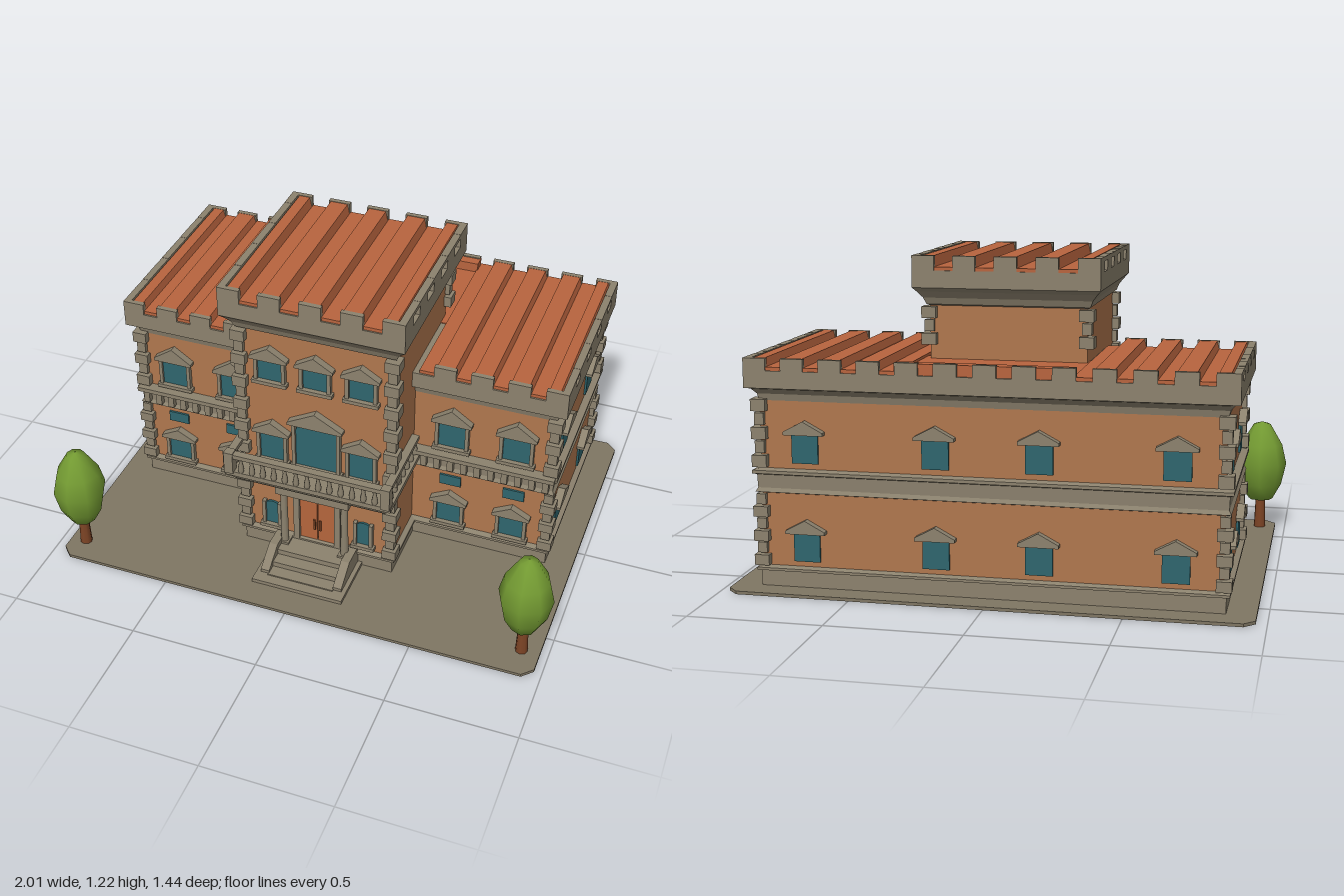
import * as THREE from 'three';

const mat = (name, color) => Object.assign(new THREE.MeshStandardMaterial({ color }), { name });
const STONE = mat('stone', 0x8c826e), WALL = mat('plaster', 0xb0774e), ROOF = mat('roof tile', 0xb8643e),
  GLASS = mat('window glass', 0x2f666e), LEAF = mat('foliage', 0x739a32), BARK = mat('bark', 0x7d4425),
  DOOR = mat('door wood', 0xb5663c), PAVE = mat('paving', 0x7f7663);

function add(parent, geo, material, name, x = 0, y = 0, z = 0) {
  const m = new THREE.Mesh(geo, material);
  m.name = name;
  m.position.set(x, y, z);
  parent.add(m);
  return m;
}
// box given by its limits
const block = (p, m, name, x0, x1, y0, y1, z0, z1) =>
  add(p, new THREE.BoxGeometry(x1 - x0, y1 - y0, z1 - z0), m, name, (x0 + x1) / 2, (y0 + y1) / 2, (z0 + z1) / 2);

// stack of rectangles [y, grow] around a base rectangle, for flared mouldings
function moulding(p, m, name, [x0, x1, z0, z1], rows) {
  const pos = [];
  const ring = ([y, g]) => [[x0 - g, y, z1 + g], [x1 + g, y, z1 + g], [x1 + g, y, z0 - g], [x0 - g, y, z0 - g]];
  const quad = (a, b, c, d) => pos.push(...a, ...b, ...c, ...a, ...c, ...d);
  rows.slice(1).forEach((r, i) => {
    const a = ring(rows[i]), b = ring(r);
    for (let k = 0; k < 4; k++) quad(a[k], a[(k + 1) % 4], b[(k + 1) % 4], b[k]);
  });
  const lo = ring(rows[0]), hi = ring(rows[rows.length - 1]);
  quad(hi[0], hi[1], hi[2], hi[3]);
  quad(lo[3], lo[2], lo[1], lo[0]);
  const g = new THREE.BufferGeometry();
  g.setAttribute('position', new THREE.Float32BufferAttribute(pos, 3));
  g.computeVertexNormals();
  return add(p, g, m, name);
}

// extruded outline in the xy plane, from z to z + depth
function extrude(p, m, name, pts, depth, x, y, z) {
  const s = new THREE.Shape(pts.map(q => new THREE.Vector2(...q)));
  return add(p, new THREE.ExtrudeGeometry(s, { depth, bevelEnabled: false }), m, name, x, y, z);
}

// window with pediment; y is the sill, turn is the wall direction
function makeWindow(p, x, y, z, w, h, { turn = 0, arch = false, frame = false, gable = 0.055 } = {}) {
  const g = new THREE.Group();
  g.name = 'window';
  g.position.set(x, y, z);
  g.rotation.y = turn;
  const pts = [[-w / 2, 0], [w / 2, 0]];
  if (arch) for (let i = 0; i <= 8; i++) {
    const a = Math.PI * i / 8;
    pts.push([Math.cos(a) * w / 2, h - w * 0.3 + Math.sin(a) * w * 0.3]);
  } else pts.push([w / 2, h], [-w / 2, h]);
  extrude(g, GLASS, 'pane', pts, 0.008, 0, 0, 0);
  if (frame) {
    for (const s of [-1, 1]) add(g, new THREE.BoxGeometry(0.014, h, 0.02), STONE, 'jamb', s * (w / 2 + 0.005), h / 2, 0.008);
    add(g, new THREE.BoxGeometry(w + 0.04, 0.015, 0.03), STONE, 'sill', 0, -0.005, 0.012);
  }
  if (gable) extrude(g, STONE, 'pediment',
    [[-w / 2 - 0.025, -0.012], [w / 2 + 0.025, -0.012], [w / 2 + 0.025, 0], [0, gable], [-w / 2 - 0.025, 0]], 0.03, 0, h, 0);
  p.add(g);
}

// staggered corner stones
function quoins(p, x, z, y0, y1) {
  const n = Math.round((y1 - y0) / 0.05), step = (y1 - y0) / n;
  for (let i = 0; i < n; i++) {
    const s = i % 2 ? 0.036 : 0.056;
    add(p, new THREE.BoxGeometry(s, step * 0.86, s), STONE, 'cornerStone', x, y0 + step * (i + 0.5), z);
  }
}

// raised planks with sunken gaps between them; spans are [x0, x1]
function ribbedRoof(p, spans, x0, x1, low, high, z0, z1) {
  const pts = [[x0, low - 0.03], [x1, low - 0.03], [x1, low]];
  [...spans].reverse().forEach(([a, b]) => {
    const l = Math.max(a, x0), r = Math.min(b, x1);
    if (r - l > 0.02) pts.push([r, low], [r - 0.008, high], [l + 0.008, high], [l, low]);
  });
  pts.push([x0, low]);
  extrude(p, ROOF, 'ribbedRoof', pts, z1 - z0, 0, 0, z0);
}

const spread = (a, b, n, width) => Array.from({ length: n }, (_, i) => {
  const c = a + width / 2 + (b - a - width) * i / (n - 1);
  return [c - width / 2, c + width / 2];
});

// low posts and a rail between two points
function balustrade(p, ax, az, bx, bz, n) {
  const len = Math.hypot(bx - ax, bz - az), turn = -Math.atan2(bz - az, bx - ax);
  const rail = add(p, new THREE.BoxGeometry(len + 0.02, 0.018, 0.03), STONE, 'rail', (ax + bx) / 2, 0.511, (az + bz) / 2);
  rail.rotation.y = turn;
  const post = new THREE.LatheGeometry([[0.008, 0], [0.013, 0.02], [0.007, 0.05], [0.011, 0.075]].map(q => new THREE.Vector2(...q)), 8);
  for (let i = 0; i <= n; i++) add(p, post, STONE, 'baluster', ax + (bx - ax) * i / n, 0.43, az + (bz - az) * i / n);
}

function makeTree(root, x, z) {
  const g = new THREE.Group();
  g.name = 'tree';
  g.position.set(x, 0, z);
  add(g, new THREE.CylinderGeometry(0.018, 0.024, 0.16, 8), BARK, 'trunk', 0, 0.09, 0);
  const prof = [[0, 0.125], [0.05, 0.135], [0.085, 0.2], [0.104, 0.29], [0.085, 0.37], [0.035, 0.455], [0, 0.466]];
  const crown = new THREE.LatheGeometry(prof.map(q => new THREE.Vector2(...q)), 8);
  add(g, crown, LEAF, 'crown');
  root.add(g);
}

export function createModel() {
  const root = new THREE.Group();
  root.name = 'castleHouse';

  // paved plate with clipped corners
  const c = 0.04, X = 0.965, Z = 0.72;
  const plate = extrude(root, PAVE, 'paving', [[-X + c, -Z], [X - c, -Z], [X, -Z + c], [X, Z - c], [X - c, Z], [-X + c, Z], [-X, Z - c], [-X, -Z + c]], 0.012, 0.005, 0.012, 0);
  plate.rotation.x = Math.PI / 2;
  makeTree(root, -0.897, 0.62);
  makeTree(root, 0.9, 0.6);

  const b = new THREE.Group();
  b.name = 'building';
  b.position.x = 0.005;
  root.add(b);
  const main = [-0.85, 0.85, -0.615, 0.105], tower = [-0.3, 0.3, -0.26, 0.365];

  // main body and its bands
  block(b, WALL, 'mainWalls', -0.85, 0.85, 0.01, 0.76, -0.615, 0.105);
  moulding(b, STONE, 'plinth', main, [[0.01, 0.008], [0.07, 0.008], [0.073, 0.022], [0.083, 0.022], [0.09, 0.002]]);
  moulding(b, STONE, 'middleBand', main, [[0.365, 0.004], [0.37, 0.02], [0.385, 0.012], [0.435, 0.014], [0.44, 0.028], [0.452, 0.028], [0.458, 0.002]]);
  moulding(b, STONE, 'mainCornice', main, [[0.71, 0.002], [0.735, 0.008], [0.755, 0.025], [0.76, 0.045], [0.825, 0.045]]);
  for (const s of [-1, 1]) for (let i = 0; i < 10; i++) {
    block(b, STONE, 'corbel', s * (0.35 + i * 0.054) - 0.012, s * (0.35 + i * 0.054) + 0.012, 0.385, 0.44, 0.11, 0.14);
  }
  block(b, STONE, 'frontLedge', -0.87, 0.87, 0.44, 0.458, 0.1, 0.15);
  for (const x of [-0.85, 0.85]) for (const z of [-0.615, 0.105]) {
    quoins(b, x, z, 0.09, 0.365);
    quoins(b, x, z, 0.46, 0.72);
  }

  // wing battlements and roofs
  const merlons = spread(-0.895, 0.895, 13, 0.085);
  for (const [x0, x1] of merlons) {
    if (Math.min(Math.abs(x0), Math.abs(x1)) > 0.26) block(b, STONE, 'merlon', x0, x1, 0.82, 0.87, 0.13, 0.15);
    block(b, STONE, 'merlon', x0, x1, 0.82, 0.87, -0.66, -0.64);
  }
  for (const x of [-0.895, 0.867]) {
    for (const [z0, z1] of spread(-0.66, 0.15, 5, 0.115)) block(b, STONE, 'merlon', x, x + 0.028, 0.82, 0.87, z0, z1);
    block(b, STONE, 'sideCoping', x, x + 0.028, 0.857, 0.869, -0.66, 0.15);
  }
  ribbedRoof(b, merlons, -0.868, -0.315, 0.838, 0.869, -0.655, 0.143);
  ribbedRoof(b, merlons, 0.325, 0.868, 0.838, 0.869, -0.655, 0.143);
  block(b, ROOF, 'middleRoof', -0.32, 0.33, 0.8, 0.828, -0.64, -0.2);
  block(b, ROOF, 'backRib', -0.32, 0.33, 0.82, 0.866, -0.65, -0.6);

  // tower
  block(b, WALL, 'towerWalls', -0.3, 0.3, 0.01, 1.05, -0.26, 0.365);
  moulding(b, STONE, 'towerPlinth', tower, [[0.01, 0.008], [0.07, 0.008], [0.073, 0.02], [0.083, 0.02], [0.09, 0.002]]);
  moulding(b, STONE, 'towerCornice', tower, [[1.03, 0.002], [1.035, 0.012], [1.06, 0.022], [1.085, 0.042], [1.1, 0.056], [1.165, 0.056]]);
  const top = spread(-0.356, 0.356, 5, 0.085);
  for (const [x0, x1] of top) {
    block(b, STONE, 'merlon', x0, x1, 1.16, 1.22, 0.401, 0.421);
    block(b, STONE, 'merlon', x0, x1, 1.16, 1.22, -0.316, -0.296);
  }
  for (const x of [-0.356, 0.328]) {
    for (const [z0, z1] of spread(-0.316, 0.421, 5, 0.09)) block(b, STONE, 'merlon', x, x + 0.028, 1.16, 1.22, z0, z1);
    block(b, STONE, 'sideCoping', x, x + 0.028, 1.203, 1.219, -0.316, 0.421);
  }
  ribbedRoof(b, top, -0.33, 0.33, 1.178, 1.218, -0.312, 0.415);
  for (const x of [-0.3, 0.3]) {
    quoins(b, x, 0.365, 0.09, 0.37);
    quoins(b, x, 0.365, 0.46, 1.03);
    quoins(b, x, -0.26, 0.88, 1.03);
  }

  // balcony around the tower front
  moulding(b, STONE, 'balcony', [-0.3, 0.3, 0.1, 0.45], [[0.375, 0.0], [0.39, 0.012], [0.405, 0.02], [0.415, 0.035], [0.435, 0.035]]);
  balustrade(b, -0.315, 0.475, 0.315, 0.475, 14);
  for (const s of [-1, 1]) {
    balustrade(b, s * 0.315, 0.475, s * 0.315, 0.14, 7);
    block(b, STONE, 'balconyPost', s * 0.315 - 0.018, s * 0.315 + 0.018, 0.43, 0.525, 0.457, 0.493);
  }

  // entrance: door leaves, frame, columns and steps
  for (const s of [-1, 1]) {
    block(b, DOOR, 'doorLeaf', s * 0.037 - 0.035, s * 0.037 + 0.035, 0.07, 0.31, 0.36, 0.374);
    block(b, BARK, 'doorHandle', s * 0.012 - 0.004, s * 0.012 + 0.004, 0.14, 0.19, 0.37, 0.38);
    block(b, STONE, 'doorJamb', s * 0.085 - 0.012, s * 0.085 + 0.012, 0.07, 0.33, 0.36, 0.385);
    add(b, new THREE.CylinderGeometry(0.013, 0.016, 0.28, 10), STONE, 'column', s * 0.125, 0.22, 0.41);
    block(b, STONE, 'columnBase', s * 0.125 - 0.022, s * 0.125 + 0.022, 0.01, 0.085, 0.36, 0.432);
    const cheek = extrude(b, STONE, 'stairCheek', [[0, 0], [0.2, 0], [0.2, 0.03], [0.11, 0.09], [0, 0.09]], 0.035, s * 0.15 - 0.0175, 0.01, 0.36);
    cheek.rotation.y = -Math.PI / 2;
    cheek.position.x += 0.035;
    makeWindow(b, s * 0.19, 0.12, 0.366, 0.055, 0.11, { arch: true, frame: true, gable: 0 });
  }
  block(b, STONE, 'doorLintel', -0.15, 0.15, 0.33, 0.375, 0.36, 0.435);
  for (let i = 0; i < 3; i++) block(b, STONE, 'step', -0.135, 0.135, 0.01, 0.032 + i * 0.022, 0.36, 0.57 - i * 0.05);
  block(b, STONE, 'stairFoot', -0.185, 0.185, 0.01, 0.027, 0.36, 0.61);

  // front windows
  for (const x of [-0.18, 0, 0.18]) makeWindow(b, x, 0.82, 0.366, 0.1, 0.11, { frame: true, gable: 0.045 });
  makeWindow(b, 0, 0.45, 0.366, 0.17, 0.21, { arch: true, frame: true, gable: 0.06 });
  for (const s of [-1, 1]) {
    makeWindow(b, s * 0.18, 0.45, 0.366, 0.1, 0.14, { arch: true, frame: true, gable: 0.045 });
    for (const x of [0.455, 0.71]) {
      makeWindow(b, s * x, 0.485, 0.106, 0.11, 0.13, { frame: true });
      makeWindow(b, s * x, 0.11, 0.106, 0.1, 0.115, { frame: true, gable: 0.04 });
      makeWindow(b, s * x, 0.295, 0.106, 0.085, 0.045, { gable: 0 });
    }
  }
  // side and back windows on both floors
  for (const y of [0.11, 0.48]) {
    for (const s of [-1, 1]) {
      for (const z of [-0.05, -0.45]) makeWindow(b, s * 0.851, y, z, 0.1, 0.12, { turn: s * Math.PI / 2, gable: 0.04 });
      for (const x of [0.19, 0.68]) makeWindow(b, s * x, y, -0.616, 0.1, 0.12, { turn: Math.PI, gable: 0.04 });
    }
  }
  return root;
}
